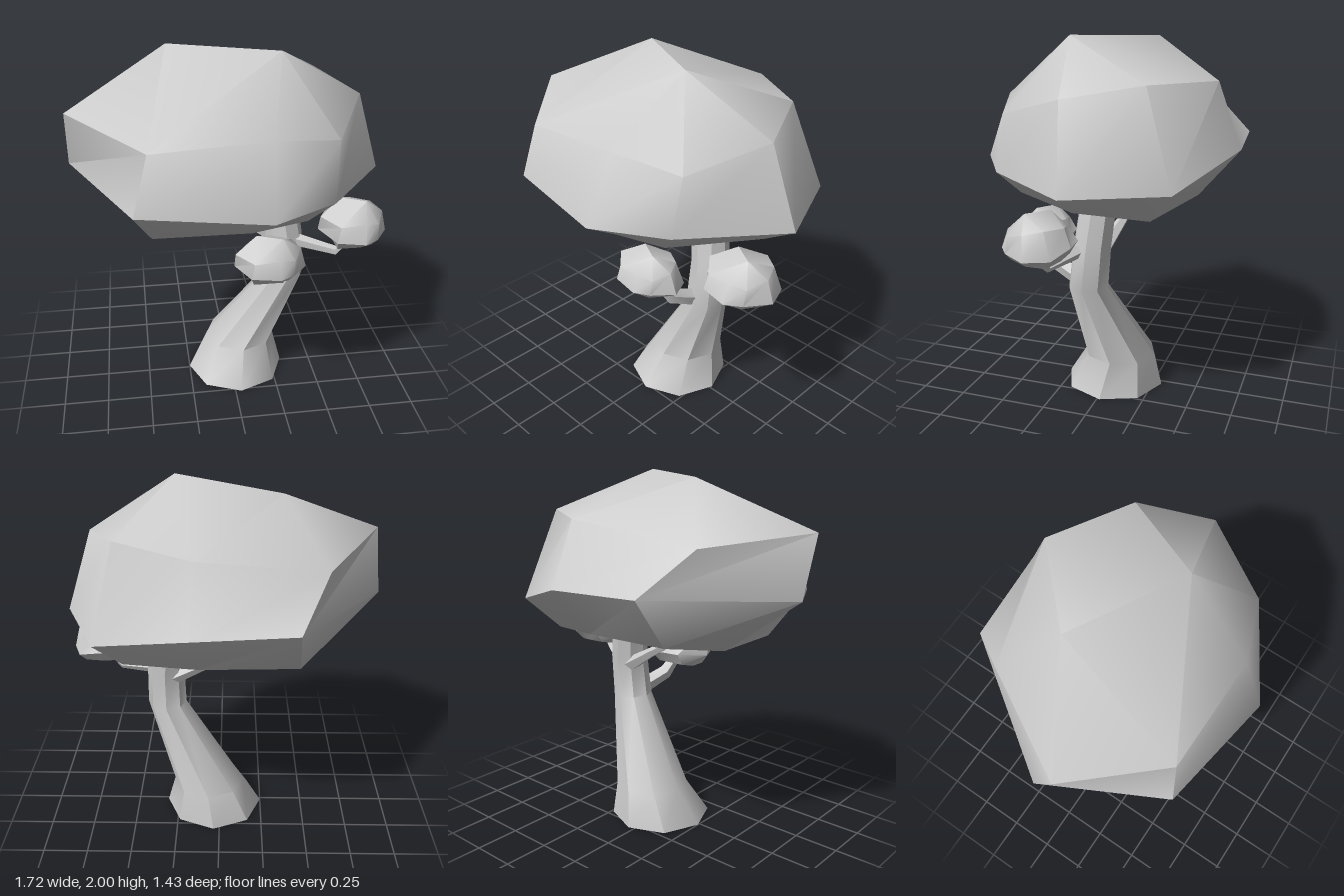
import * as THREE from 'three';
import { toCreasedNormals } from 'three/addons/utils/BufferGeometryUtils.js';

const solid = new THREE.MeshStandardMaterial({ color: 0xcccccc });
const open = new THREE.MeshStandardMaterial({ color: 0xcccccc, side: THREE.DoubleSide });
const UP = new THREE.Vector3(0, 1, 0);

// Leaf mass: three rings of eight corners, from the shoulder down to the underside
const FOLIAGE_RINGS = [
  [[-0.46, 1.64, 0.55], [0.14, 1.68, 0.56], [0.49, 1.62, 0.43], [0.69, 1.73, 0.04],
    [0.52, 1.79, -0.33], [0.11, 1.78, -0.59], [-0.54, 1.67, -0.42], [-0.85, 1.72, 0.14]],
  [[-0.54, 1.34, 0.6], [0.12, 1.32, 0.71], [0.47, 1.31, 0.49], [0.83, 1.29, 0],
    [0.63, 1.3, -0.49], [0.13, 1.44, -0.72], [-0.39, 1.45, -0.68], [-0.86, 1.4, 0]],
  [[-0.45, 1.1, 0.35], [0.05, 1.16, 0.47], [0.35, 1.18, 0.41], [0.64, 1.18, 0],
    [0.5, 1.13, -0.35], [0.1, 1.18, -0.5], [-0.41, 1.19, -0.5], [-0.46, 1.1, -0.08]],
];
// Two peaks on top and the middle of the underside
const FOLIAGE_POLES = [[0.24, 2.0, 0.16], [-0.32, 1.98, -0.16], [0.08, 1.13, 0]];
const FOLIAGE_CENTRE = new THREE.Vector3(0, 1.55, 0);

function addMesh(group, name, points, index, crease, material) {
  const geometry = new THREE.BufferGeometry().setFromPoints(points);
  geometry.setIndex(index);
  const mesh = new THREE.Mesh(toCreasedNormals(geometry, crease), material);
  mesh.name = name;
  group.add(mesh);
}

// Faces joining consecutive rings, then a fan closing the last ring on the point endPole
function skin(rings, sides, endPole) {
  const index = [];
  const last = (rings - 1) * sides;
  for (let j = 0; j < sides; j++) {
    const k = (j + 1) % sides;
    for (let row = 0; row < last; row += sides) {
      const a = row + j, b = row + k;
      index.push(a, a + sides, b, b, a + sides, b + sides);
    }
    index.push(endPole, last + k, last + j);
  }
  return index;
}

// Leaf mass, resized about its centre and moved to a new one
function addFoliage(group, name, centre, scale) {
  const points = [...FOLIAGE_RINGS.flat(), ...FOLIAGE_POLES].map((p) =>
    new THREE.Vector3(...p).sub(FOLIAGE_CENTRE)
      .multiply(new THREE.Vector3(...scale)).add(new THREE.Vector3(...centre)));
  const index = skin(3, 8, 26);
  // Top faces: the front peak takes shoulder corners 0 to 5, the rear peak the rest
  for (let j = 0; j < 8; j++) index.push(j < 5 ? 24 : 25, j, (j + 1) % 8);
  index.push(24, 25, 0, 24, 5, 25);
  addMesh(group, name, points, index, 0.8, solid);
}

// Limb through stations [x, y, z, radius], open at its foot; level rings or rings square to the path
function addLimb(group, name, stations, sides, level) {
  const centres = stations.map(([x, y, z]) => new THREE.Vector3(x, y, z));
  const last = centres.length - 1;
  const points = [];
  centres.forEach((c, i) => {
    const along = centres[Math.min(i + 1, last)].clone().sub(centres[Math.max(i - 1, 0)]).normalize();
    const turn = new THREE.Quaternion();
    if (!level) turn.setFromUnitVectors(UP, along);
    const r = stations[i][3];
    for (let j = 0; j < sides; j++) {
      const a = (j / sides) * Math.PI * 2;
      points.push(new THREE.Vector3(Math.cos(a) * r, 0, Math.sin(a) * r).applyQuaternion(turn).add(c));
    }
  });
  points.push(centres[last]);
  addMesh(group, name, points, skin(last + 1, sides, points.length - 1), 0.75, open);
}

export function createModel() {
  const tree = new THREE.Group();
  tree.name = 'tree';

  // Leaning trunk with a flared foot
  addLimb(tree, 'trunk', [
    [0.035, 0, -0.015, 0.285],
    [0.065, 0.2, -0.06, 0.205],
    [0.31, 0.68, 0.045, 0.112],
    [0.31, 0.92, 0.02, 0.105],
    [0.27, 1.2, -0.01, 0.1],
  ], 8, true);

  // Branches
  const branches = {
    frontBranch: [[0.29, 0.7, 0.08, 0.05], [0.24, 0.77, 0.26, 0.045], [0.19, 0.9, 0.35, 0.025]],
    leftBranch: [[0.34, 0.9, 0.06, 0.04], [0.58, 0.86, 0.17, 0.027], [0.67, 0.96, 0.18, 0.02]],
    rightBranch: [[0.28, 0.87, -0.02, 0.045], [0.05, 1.0, -0.07, 0.028], [-0.22, 1.15, -0.1, 0.018]],
  };
  for (const [name, stations] of Object.entries(branches)) addLimb(tree, name, stations, 5, false);

  // Main crown and the two small leaf clumps
  addFoliage(tree, 'crown', FOLIAGE_CENTRE.toArray(), [1, 1, 1]);
  addFoliage(tree, 'frontClump', [0.175, 0.945, 0.345], [0.23, 0.265, 0.215]);
  addFoliage(tree, 'leftClump', [0.665, 1.05, 0.175], [0.23, 0.285, 0.26]);
  return tree;
}
